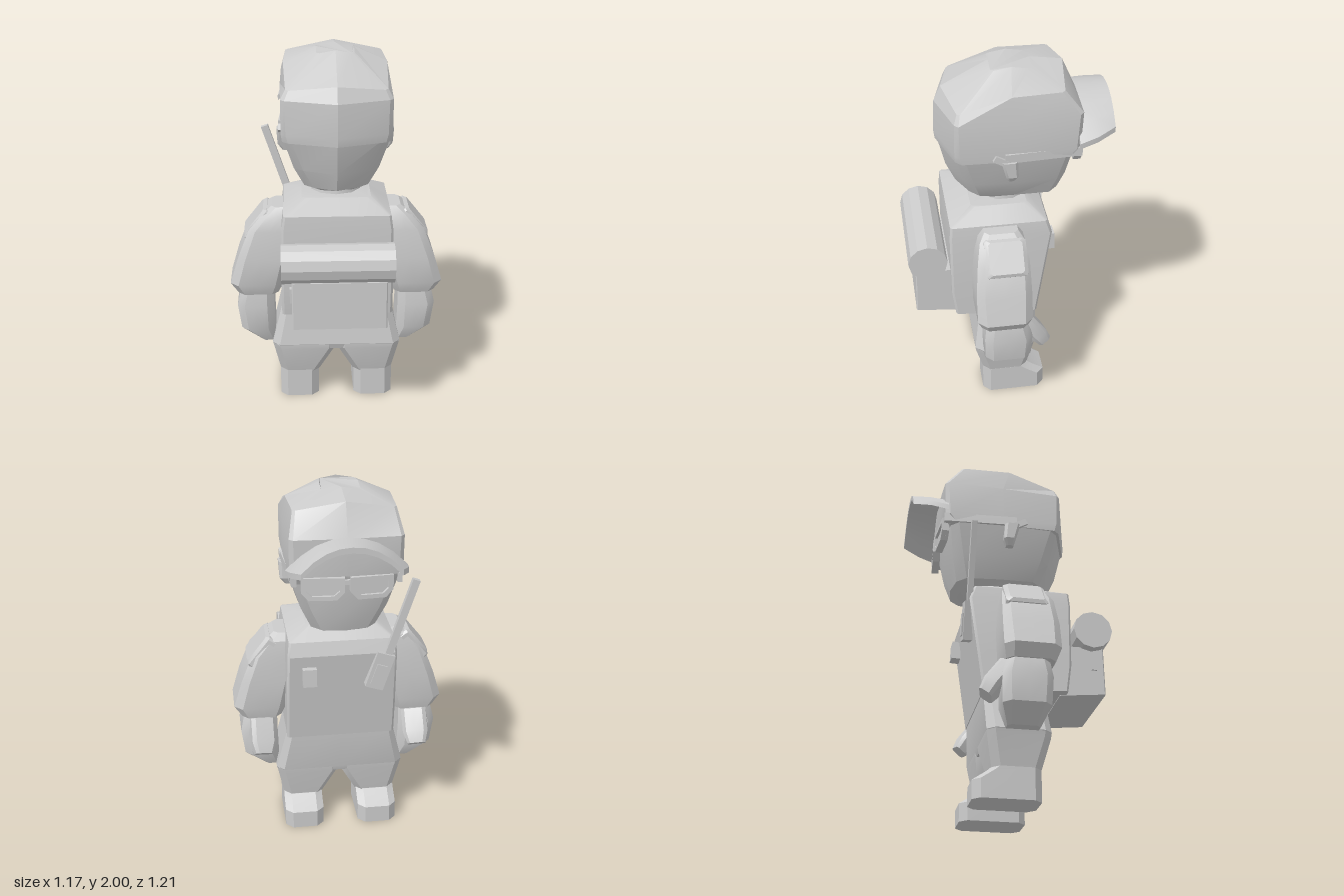
import * as THREE from 'three';
import { toCreasedNormals } from 'three/addons/utils/BufferGeometryUtils.js';

const mat = new THREE.MeshStandardMaterial({ color: 0xcccccc, side: THREE.DoubleSide });

// Chamfered rectangle at height y; tilt slopes it along z, front/back bulge the middles, lift raises them
function ring([y, x0, x1, z0, z1, c = 0.04, tilt = 0, front = 0, back = 0, lift = 0]) {
  const cx = (x0 + x1) / 2, cz = (z0 + z1) / 2;
  return [[x1 - c, z1], [x1, z1 - c], [x1 + front * 0.4, cz, lift], [x1, z0 + c], [x1 - c, z0], [cx, z0 - front, lift],
    [x0 + c, z0], [x0, z0 + c], [x0 - front * 0.4, cz, lift], [x0, z1 - c], [x0 + c, z1], [cx, z1 + back, lift]]
    .map(([x, z, up = 0]) => new THREE.Vector3(x, y + up + tilt * (z - cz), z));
}

// Skin through rings listed from bottom to top, with closed ends
function loft(rows, crease = 0.45) {
  const rings = rows.map(ring), n = 12, pts = [];
  for (let i = 0; i < rings.length - 1; i++) {
    for (let j = 0; j < n; j++) {
      const k = (j + 1) % n, a = rings[i], b = rings[i + 1];
      pts.push(a[j], a[k], b[k], a[j], b[k], b[j]);
    }
  }
  const lo = rings[0], hi = rings[rings.length - 1];
  for (let j = 1; j < n - 1; j++) pts.push(lo[0], lo[j + 1], lo[j], hi[0], hi[j], hi[j + 1]);
  return toCreasedNormals(new THREE.BufferGeometry().setFromPoints(pts), crease);
}

// Swap the inner and outer x of each ring for the other side
const side = (rows, s) => rows.map(([y, a, b, ...r]) => (s > 0 ? [y, a, b, ...r] : [y, -b, -a, ...r]));

export function createModel() {
  const model = new THREE.Group();
  model.name = 'figure';
  const body = new THREE.Group();
  body.name = 'body';
  body.rotation.y = 0.31;
  body.position.set(-0.014, 0, 0.003);
  model.add(body);

  const add = (name, geo, p = [0, 0, 0], r = [0, 0, 0], parent = body) => {
    const m = new THREE.Mesh(geo, mat);
    m.name = name;
    m.position.set(...p);
    m.rotation.set(...r);
    parent.add(m);
  };
  const box = (name, s, p, r, parent) => add(name, new THREE.BoxGeometry(...s), p, r, parent);

  // Head, faced towards -z
  add('head', loft([
    [1.245, -0.12, 0.12, -0.23, 0.09, 0.04],
    [1.285, -0.17, 0.17, -0.29, 0.18, 0.05, 0.03, 0.02, 0.06],
    [1.4, -0.225, 0.225, -0.32, 0.215, 0.05, 0, 0.03, 0.075],
    [1.58, -0.28, 0.28, -0.345, 0.255, 0.04, 0, 0.03, 0.08],
  ]));
  add('neck', new THREE.CylinderGeometry(0.13, 0.15, 0.12, 10), [0, 1.24, -0.01]);

  // Cap crown: upright band, sloping front panel and ridged top
  add('capCrown', loft([
    [1.565, -0.283, 0.283, -0.35, 0.262, 0.03, 0, 0.02, 0.08],
    [1.61, -0.289, 0.289, -0.378, 0.268, 0.025, 0, 0.01, 0.08],
    [1.8, -0.289, 0.289, -0.385, 0.266, 0.02, -0.03, 0.01, 0.075],
    [1.885, -0.262, 0.262, -0.29, 0.25, 0.015, -0.17, 0.03, 0.055, 0.04],
    [1.985, -0.1, 0.1, -0.15, 0.06, 0.015, 0, 0, 0, 0.015],
  ], 0.35));

  // Arched visor, narrower at its tip
  const visor = new THREE.BoxGeometry(2, 1, 1, 8, 1, 2);
  const vp = visor.attributes.position;
  for (let i = 0; i < vp.count; i++) {
    const t = vp.getX(i), f = 0.5 - vp.getZ(i), arch = 1 - Math.abs(t) ** 2.2;
    vp.setXYZ(i, t * (0.31 - 0.06 * f * f), 1.635 + 0.05 * f + (0.165 - 0.04 * f) * arch + 0.03 * vp.getY(i),
      -0.365 - 0.192 * f);
  }
  add('capVisor', toCreasedNormals(visor.toNonIndexed(), 0.5));

  // Glasses with two open frames and recessed lenses
  const glasses = new THREE.Group();
  glasses.name = 'glasses';
  body.add(glasses);
  const outline = (w, h) => [[-w, h], [w, h], [w, -h * 0.3], [w * 0.65, -h], [-w * 0.65, -h], [-w, -h * 0.3]]
    .map(([x, y]) => new THREE.Vector2(x, y));
  for (const s of [1, -1]) {
    const frame = new THREE.Shape(outline(0.11, 0.06));
    frame.holes.push(new THREE.Path(outline(0.085, 0.038)));
    add('glassesFrame', new THREE.ExtrudeGeometry(frame, { depth: 0.04, bevelEnabled: false }),
      [s * 0.125, 1.55, -0.4], [0, -s * 0.08, 0], glasses);
    box('glassesLens', [0.18, 0.08, 0.01], [s * 0.125, 1.55, -0.38], [0, -s * 0.08, 0], glasses);
    box('glassesArm', [0.025, 0.05, 0.4], [s * 0.28, 1.59, -0.185], [0, s * 0.06, 0], glasses);
    box('glassesHook', [0.02, 0.035, 0.09], [s * 0.295, 1.575, 0.03], [-0.5, 0, 0], glasses);
    add('ear', loft(side([
      [1.445, 0.24, 0.285, -0.04, 0.0, 0.01], [1.48, 0.24, 0.31, -0.055, 0.01, 0.012],
      [1.57, 0.25, 0.315, -0.05, 0.035, 0.015]], s)));
  }
  box('glassesBridge', [0.05, 0.025, 0.03], [0, 1.58, -0.38], [0, 0, 0], glasses);

  // Torso, with the pack rising flush behind the shoulders
  add('torso', loft([
    [0.585, -0.3, 0.3, -0.165, 0.285, 0.012, 0.06],
    [0.75, -0.3, 0.3, -0.19, 0.305, 0.012],
    [1.1, -0.295, 0.295, -0.24, 0.308, 0.012],
    [1.175, -0.285, 0.285, -0.215, 0.303, 0.012],
    [1.235, -0.185, 0.185, -0.12, 0.18, 0.02],
  ]));
  add('packPouch', loft([
    [0.605, -0.245, 0.255, 0.25, 0.5, 0.006, 0.1], [0.88, -0.245, 0.255, 0.25, 0.495, 0.006]]));
  box('pouchBuckle', [0.012, 0.08, 0.03], [-0.25, 0.79, 0.44]);
  add('bedroll', toCreasedNormals(new THREE.CylinderGeometry(0.105, 0.105, 0.59, 12), 0.3),
    [-0.003, 0.965, 0.428], [0, 0, Math.PI / 2]);

  // Chest gear: pouch on one side, radio with tilted antenna on the other
  box('chestPouch', [0.075, 0.1, 0.05], [0.18, 0.985, -0.245], [0.05, 0, 0]);
  const radio = new THREE.Group();
  radio.name = 'radio';
  radio.position.set(-0.2, 1.0, -0.235);
  radio.rotation.z = 0.32;
  body.add(radio);
  box('radioCase', [0.1, 0.21, 0.055], [0, 0, 0], [0, 0, 0], radio);
  box('radioPanel', [0.06, 0.12, 0.02], [0, -0.02, -0.025], [0, 0, 0], radio);
  box('radioAntenna', [0.04, 0.45, 0.03], [-0.015, 0.32, 0], [0, 0, 0], radio);

  // Hips
  add('hips', loft([
    [0.325, -0.34, 0.34, -0.14, 0.175, 0.04],
    [0.355, -0.358, 0.358, -0.15, 0.185, 0.04],
    [0.61, -0.295, 0.295, -0.163, 0.15, 0.03],
  ]));

  for (const s of [1, -1]) {
    // Trouser leg and boot
    add('trouserLeg', loft(side([
      [0.155, 0.095, 0.315, -0.115, 0.135, 0.04],
      [0.325, 0.004, 0.35, -0.146, 0.182, 0.04],
      [0.352, 0.004, 0.357, -0.149, 0.184, 0.04]], s)));
    add('boot', loft(side([
      [0, 0.1, 0.318, -0.215, 0.138, 0.04],
      [0.1, 0.1, 0.318, -0.215, 0.138, 0.04],
      [0.15, 0.1, 0.318, -0.14, 0.138, 0.04],
      [0.168, 0.1, 0.318, -0.12, 0.138, 0.04]], s)));

    // Sleeve, forearm with fist, and thumb
    add('sleeve', loft(side([
      [0.665, 0.32, 0.54, -0.085, 0.17, 0.035],
      [0.73, 0.29, 0.582, -0.1, 0.195, 0.045],
      [0.88, 0.26, 0.537, -0.1, 0.195, 0.04],
      [1.04, 0.25, 0.475, -0.095, 0.18, 0.035],
      [1.125, 0.25, 0.4, -0.08, 0.16, 0.03],
      [1.165, 0.26, 0.35, -0.05, 0.13, 0.025]], s)));
    add('forearm', loft(side([
      [0.35, 0.335, 0.42, -0.06, 0.11, 0.02],
      [0.435, 0.34, 0.53, -0.1, 0.15, 0.04],
      [0.58, 0.345, 0.55, -0.105, 0.155, 0.04],
      [0.69, 0.345, 0.525, -0.08, 0.14, 0.04]], s)));
    add('thumb', loft([
      [-0.095, -0.05, 0.05, -0.03, 0.045, 0.015],
      [-0.03, -0.07, 0.07, -0.045, 0.05, 0.02],
      [0.1, -0.07, 0.07, -0.045, 0.05, 0.02]]), [s * 0.432, 0.565, -0.125], [0.65, s * 0.25, 0]);
    add('shoulderPad', loft([
      [-0.03, -0.105, 0.105, -0.115, 0.115, 0.012],
      [0.015, -0.1, 0.1, -0.11, 0.11, 0.012],
      [0.03, -0.085, 0.085, -0.09, 0.09, 0.012]]), [s * 0.425, 1.06, 0.03], [0, 0, -s * 0.9]);
  }
  return model;
}
